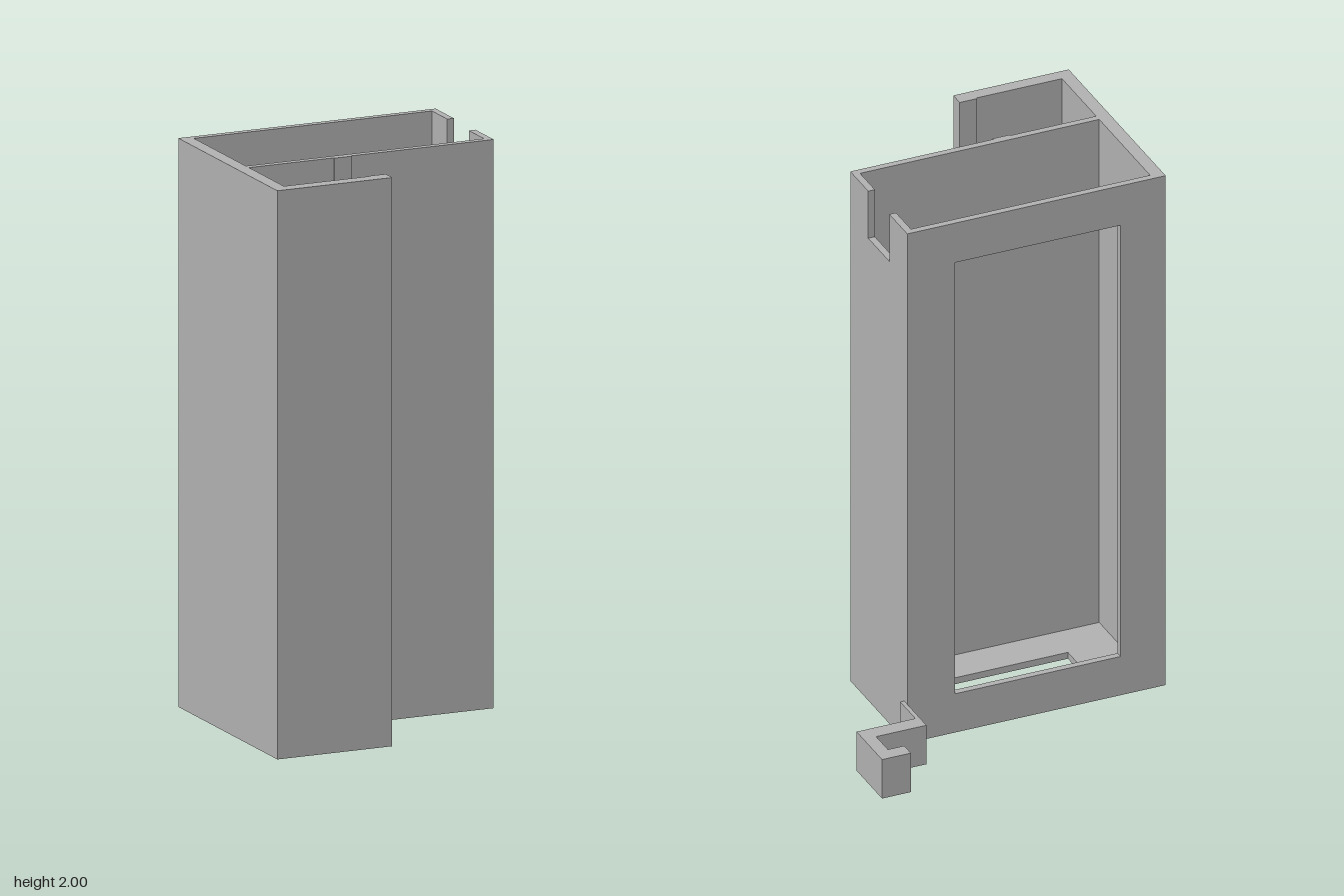
import * as THREE from 'three';

const H = 2;

// Closed outline from a short list of corner points
const outline = (pts) => new THREE.Shape(pts.map(([a, b]) => new THREE.Vector2(a, b)));
const rect = (x0, y0, x1, y1) => [[x0, y0], [x1, y0], [x1, y1], [x0, y1]];
const extrude = (shape, depth) =>
  new THREE.ExtrudeGeometry(shape, { depth, bevelEnabled: false });

// Extrudes a floor plan drawn in (x, z) from y = 0 up to the given height
const extrudePlan = (shape, height) =>
  extrude(shape, height).rotateX(Math.PI / 2).translate(0, height, 0);

export function createModel() {
  const model = new THREE.Group();
  model.name = 'wallHolder';
  const grey = new THREE.MeshStandardMaterial({ color: 0xb2b2b2 });
  grey.name = 'grey plastic';

  const add = (name, geometry) => {
    const mesh = new THREE.Mesh(geometry, grey);
    mesh.name = name;
    model.add(mesh);
  };

  // Thick side wall, front wall and hooked flange, with a thin grip rib on each side of the gap
  add('sideFrontWallsAndFlange', extrudePlan(outline([
    [-0.602, -0.245], [-0.555, -0.245], [-0.555, 0.2], [0.365, 0.2], [0.365, 0.225],
    [-0.17, 0.225], [-0.17, 0.23], [-0.235, 0.23], [-0.235, 0.225], [-0.555, 0.225],
    [-0.555, 0.507], [-0.235, 0.507], [-0.235, 0.502], [-0.17, 0.502],
    [-0.17, 0.555], [-0.602, 0.555],
  ]), H));

  // Back wall with a large window
  const back = outline(rect(-0.555, 0, 0.365, H));
  back.holes.push(outline(rect(-0.433, 0.152, 0.187, 1.845)));
  add('backWall', extrude(back, 0.025).translate(0, 0, -0.245));

  // Thin side wall with a notch in its top edge, drawn in (-z, y)
  const notched = outline([
    [-0.2, 0], [0.22, 0], [0.22, H], [0.097, H], [0.097, 1.815],
    [-0.077, 1.815], [-0.077, H], [-0.2, H],
  ]);
  add('notchedWall', extrude(notched, 0.025).rotateY(Math.PI / 2).translate(0.34, 0, 0));

  // Floor with a slot
  const floor = outline(rect(-0.555, -0.22, 0.34, 0.2));
  floor.holes.push(outline(rect(-0.373, -0.08, 0.155, 0.057)));
  add('floor', extrudePlan(floor, 0.025));

  // Low hooked clip at the back corner
  add('cornerClip', extrudePlan(outline([
    [0.365, -0.22], [0.38, -0.22], [0.38, -0.345], [0.6, -0.345], [0.6, -0.555],
    [0.492, -0.555], [0.492, -0.5], [0.553, -0.5], [0.553, -0.403], [0.365, -0.403],
  ]), 0.153));

  return model;
}
